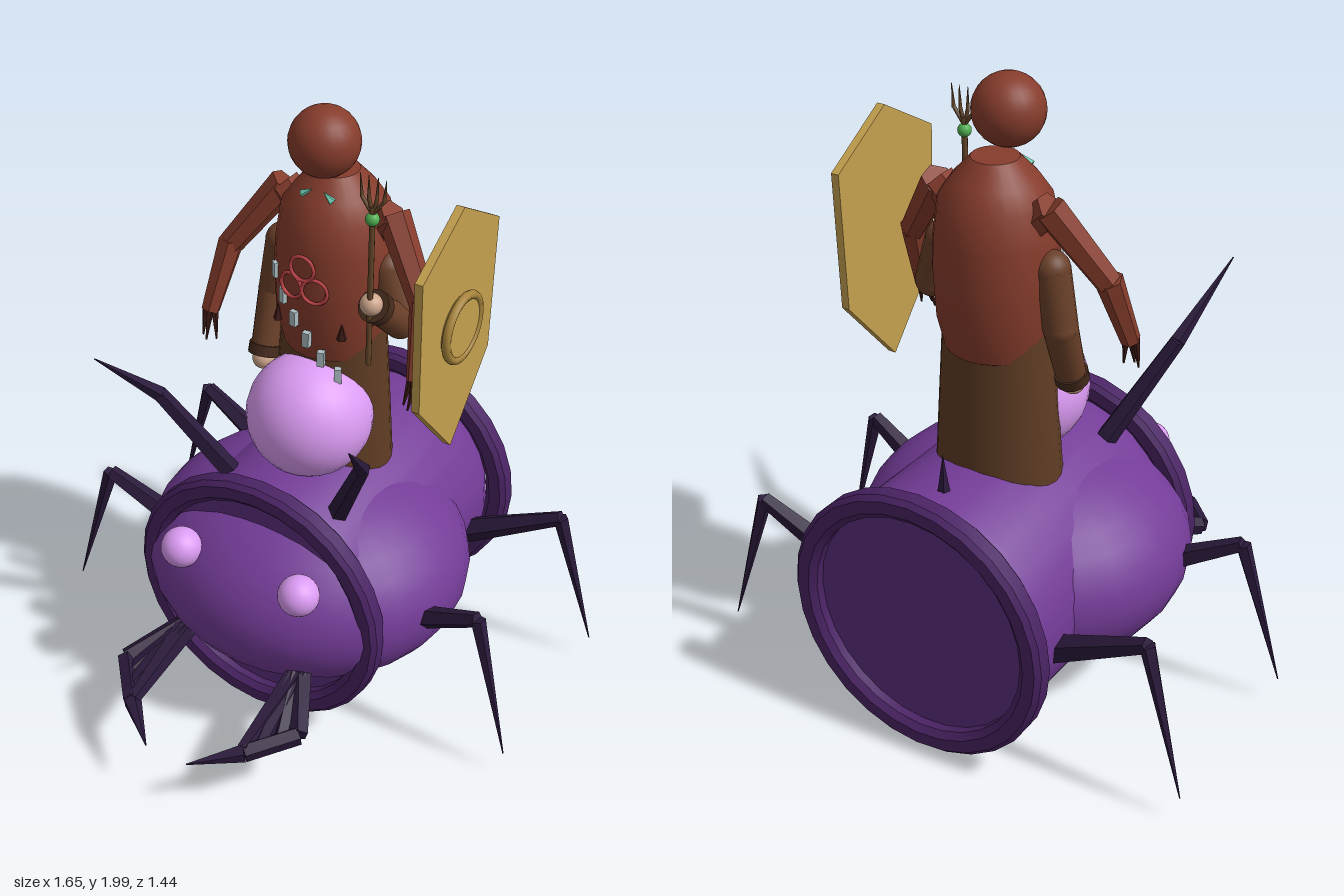
import * as THREE from 'three';
import { toCreasedNormals } from 'three/addons/utils/BufferGeometryUtils.js';

const mat = (color, extra = {}) => new THREE.MeshStandardMaterial({ color, ...extra });
const flat = (color) => mat(color, { flatShading: true });
const M = {
  shell: mat(0x743c98), rim: mat(0x4a2364), lid: mat(0x5c2e7c), leg: flat(0x2b1a3c),
  orb: mat(0xdc9cf4), red: mat(0x863c2c), redFlat: flat(0x863c2c), claw: flat(0x3c1a16),
  robe: mat(0x5e3c24, { side: THREE.DoubleSide }), sleeve: mat(0x6a4029), cuff: mat(0x452a1c),
  skin: mat(0xcda68c), gold: flat(0xc4a04e), goldDark: mat(0xa8853c), wood: mat(0x66482a),
  green: mat(0x4fae50), teal: flat(0x6fd0b4), bead: flat(0xaebfc4), emblem: mat(0xc04448),
};
const V = (p) => new THREE.Vector3(...p);

export function createModel() {
  const model = new THREE.Group();
  const add = (name, geometry, material, pos = [0, 0, 0], parent = model) => {
    const mesh = new THREE.Mesh(geometry, material);
    mesh.name = name;
    mesh.position.set(...pos);
    parent.add(mesh);
    return mesh;
  };
  // Tapered limb segment from a to b
  const limb = (name, a, b, ra, rb, material, sides = 5, parent = model) => {
    const d = V(b).sub(V(a));
    const mesh = add(name, new THREE.CylinderGeometry(rb, ra, d.length(), sides), material,
      V(a).add(V(b)).multiplyScalar(0.5).toArray(), parent);
    mesh.quaternion.setFromUnitVectors(new THREE.Vector3(0, 1, 0), d.normalize());
    return mesh;
  };
  const ball = (name, r, pos, material, parent = model) =>
    add(name, new THREE.SphereGeometry(r, 24, 16), material, pos, parent);
  const lathe = (pts, n = 28, crease = 0.5) =>
    toCreasedNormals(new THREE.LatheGeometry(pts.map((p) => new THREE.Vector2(...p)), n), crease);
  const group = (name) => {
    const g = new THREE.Group();
    g.name = name;
    model.add(g);
    return g;
  };

  // Barrel lying along z, with a bulging belly
  add('barrel', lathe([[0, -0.67], [0.36, -0.67], [0.37, -0.65], [0.39, -0.6], [0.39, 0.1],
    [0.37, 0.15], [0.36, 0.17], [0, 0.17]]), M.shell, [0, 0.45, 0]).rotation.x = Math.PI / 2;
  add('belly', new THREE.SphereGeometry(1, 28, 18), M.shell, [0, 0.45, -0.11]).scale.set(0.533, 0.345, 0.5);
  const rimShape = [[0.365, -0.02], [0.385, -0.037], [0.425, -0.037], [0.44, -0.022],
    [0.44, 0.022], [0.425, 0.037], [0.385, 0.037], [0.365, 0.02], [0.365, -0.02]];
  for (const [name, z] of [['frontRim', 0.18], ['backRim', -0.683]])
    add(name, lathe(rimShape, 28, 0.4), M.rim, [0, 0.45, z]).rotation.x = Math.PI / 2;
  add('backLid', new THREE.CircleGeometry(0.37, 28), M.lid, [0, 0.45, -0.675]).rotation.y = Math.PI;
  add('frontLid', new THREE.CircleGeometry(0.37, 28), M.lid, [0, 0.45, 0.175]);

  // Jointed legs, feelers and pincers on both sides
  for (const s of [-1, 1]) {
    const side = s > 0 ? 'left' : 'right';
    const legs = group(side + 'Legs');
    const chain = (name, pts, radii) => pts.slice(1).forEach((p, i) =>
      limb(name, [s * pts[i][0], pts[i][1], pts[i][2]], [s * p[0], p[1], p[2]],
        radii[i], radii[i + 1], M.leg, 5, legs));
    chain('frontLeg', [[0.38, 0.4, -0.01], [0.69, 0.565, 0.035], [0.825, 0.09, 0.062]], [0.045, 0.025, 0.002]);
    chain('backLeg', [[0.37, 0.4, -0.515], [0.69, 0.565, -0.545], [0.825, 0.09, -0.572]], [0.045, 0.025, 0.002]);
    chain('feeler', [[0.2, 0.78, 0.045], [0.36, 1.1, 0.185], [0.432, 1.315, 0.39]], [0.035, 0.025, 0.002]);
    chain('pincer', [[0.21, 0.31, 0.28], [0.325, 0.25, 0.47], [0.21, 0.225, 0.6], [0.075, 0.2, 0.715]],
      [0.04, 0.03, 0.03, 0.002]);
    for (const [x, z] of [[0.285, 0.52], [0.245, 0.56], [0.205, 0.6]])
      chain('pincerFinger', [[0.21, 0.31, 0.29], [x, 0.235, z]], [0.04, 0.022]);
    ball(side + 'Eye', 0.065, [s * 0.215, 0.635, 0.298], M.orb);
  }
  add('backSpike', new THREE.ConeGeometry(0.022, 0.14, 5), M.leg, [0, 0.89, -0.54]);
  ball('orb', 0.2, [0, 0.985, -0.11], M.orb);

  // Rider: skirt, torso and head
  const cz = -0.25;
  add('skirt', new THREE.CylinderGeometry(0.165, 0.205, 0.6, 28, 1, true), M.robe, [0, 1.05, cz]).scale.z = 0.8;
  add('torso', lathe([[0, 1.15], [0.1, 1.165], [0.155, 1.2], [0.178, 1.3], [0.185, 1.45], [0.18, 1.55],
    [0.165, 1.66], [0.125, 1.72], [0.07, 1.78], [0, 1.78]], 24, 0.6), M.red, [0, 0, cz]);
  ball('head', 0.107, [0, 1.893, -0.18], M.red);

  // Upper arms with clawed hands
  for (const s of [-1, 1]) {
    const arm = group(s > 0 ? 'leftUpperArm' : 'rightUpperArm');
    const at = (x, y, z) => [s * x, y, z];
    limb('shoulder', at(0.1, 1.58, -0.26), at(0.19, 1.67, -0.26), 0.05, 0.05, M.redFlat, 6, arm);
    limb('upperArm', at(0.185, 1.67, -0.265), at(0.335, 1.45, -0.19), 0.05, 0.04, M.redFlat, 6, arm);
    limb('forearm', at(0.335, 1.46, -0.19), at(0.365, 1.24, -0.11), 0.042, 0.03, M.redFlat, 6, arm);
    for (const i of [-1, 0, 1])
      limb('claw', at(0.365 + i * 0.015, 1.25, -0.11), at(0.36 + i * 0.025, 1.15, -0.095 + (i ? 0 : 0.02)),
        0.013, 0.003, M.claw, 5, arm);
  }

  // Sleeved lower arms: one hanging, one bent to hold the fork
  const sleeve = (name, pts, radii) => {
    const g = group(name);
    const n = pts.length - 1;
    for (let i = 0; i < n; i++) {
      limb('sleeve', pts[i], pts[i + 1], radii[i], radii[i + 1], M.sleeve, 14, g);
      ball('joint', radii[i], pts[i], M.sleeve, g);
    }
    const dir = V(pts[n]).sub(V(pts[n - 1])).normalize();
    const along = (d) => V(pts[n]).addScaledVector(dir, d).toArray();
    limb('cuff', along(-0.02), along(0.015), 0.052, 0.052, M.cuff, 14, g);
    ball('hand', 0.035, along(0.03), M.skin, g);
  };
  sleeve('rightLowerArm', [[-0.185, 1.48, -0.25], [-0.215, 1.3, -0.25], [-0.21, 1.11, -0.18]], [0.055, 0.052, 0.045]);
  sleeve('leftLowerArm', [[0.175, 1.49, -0.26], [0.235, 1.33, -0.24], [0.217, 1.44, -0.12]], [0.055, 0.052, 0.045]);

  // Fork
  const fork = group('fork');
  limb('shaft', [0.217, 1.26, -0.085], [0.217, 1.79, -0.085], 0.009, 0.009, M.wood, 8, fork);
  ball('gem', 0.021, [0.217, 1.75, -0.085], M.green, fork);
  for (const x of [-0.042, -0.015, 0.015, 0.042]) {
    limb('prongBase', [0.217, 1.765, -0.085], [0.217 + x * 0.85, 1.815, -0.085], 0.006, 0.006, M.wood, 6, fork);
    limb('prong', [0.217 + x * 0.85, 1.812, -0.085], [0.217 + x, 1.885, -0.085], 0.006, 0.001, M.wood, 6, fork);
  }

  // Six-cornered shield facing outward, with a round boss
  const shield = group('shield');
  const outline = new THREE.Shape([[0, 0.39], [-0.228, 0.252], [-0.214, -0.185], [0, -0.43],
    [0.214, -0.185], [0.228, 0.252]].map((p) => new THREE.Vector2(...p)));
  add('shieldPlate', new THREE.ExtrudeGeometry(outline, { depth: 0.026, bevelEnabled: false }), M.gold, [0, 0, 0], shield);
  add('shieldBoss', new THREE.CylinderGeometry(0.1, 0.1, 0.03, 28), M.gold, [0, 0, 0.035], shield).rotation.x = Math.PI / 2;
  add('shieldRing', new THREE.TorusGeometry(0.1, 0.014, 8, 32), M.goldDark, [0, 0, 0.043], shield);
  shield.position.set(0.43, 1.425, -0.18);
  shield.rotation.y = Math.PI / 2;

  // Chest ornaments follow the curve of the torso
  const surface = (x, r = 0.18) => cz + Math.sqrt(r * r - x * x);
  for (const [x, y] of [[0, 1.53], [-0.04, 1.46], [0.04, 1.46]])
    add('chestRing', new THREE.TorusGeometry(0.04, 0.006, 6, 24), M.emblem, [x, y, surface(x, 0.183) + 0.006])
      .rotation.y = x * 5;
  for (let i = 0; i < 6; i++) {
    const x = -0.122 + i * 0.0455;
    add('sashBead', new THREE.BoxGeometry(0.022, 0.05, 0.02), M.bead, [x, 1.465 - i * 0.059, surface(x) + 0.006])
      .rotation.y = x * 5;
  }
  for (const s of [-1, 1]) {
    const gem = add('chestGem', new THREE.ConeGeometry(0.014, 0.04, 5), M.teal, [s * 0.035, 1.738, -0.145]);
    gem.rotation.z = s * 0.9;
    add('robeSpike', new THREE.ConeGeometry(0.016, 0.055, 5), M.claw, [s * 0.112, 1.325, surface(0.112) + 0.004]);
  }
  return model;
}
